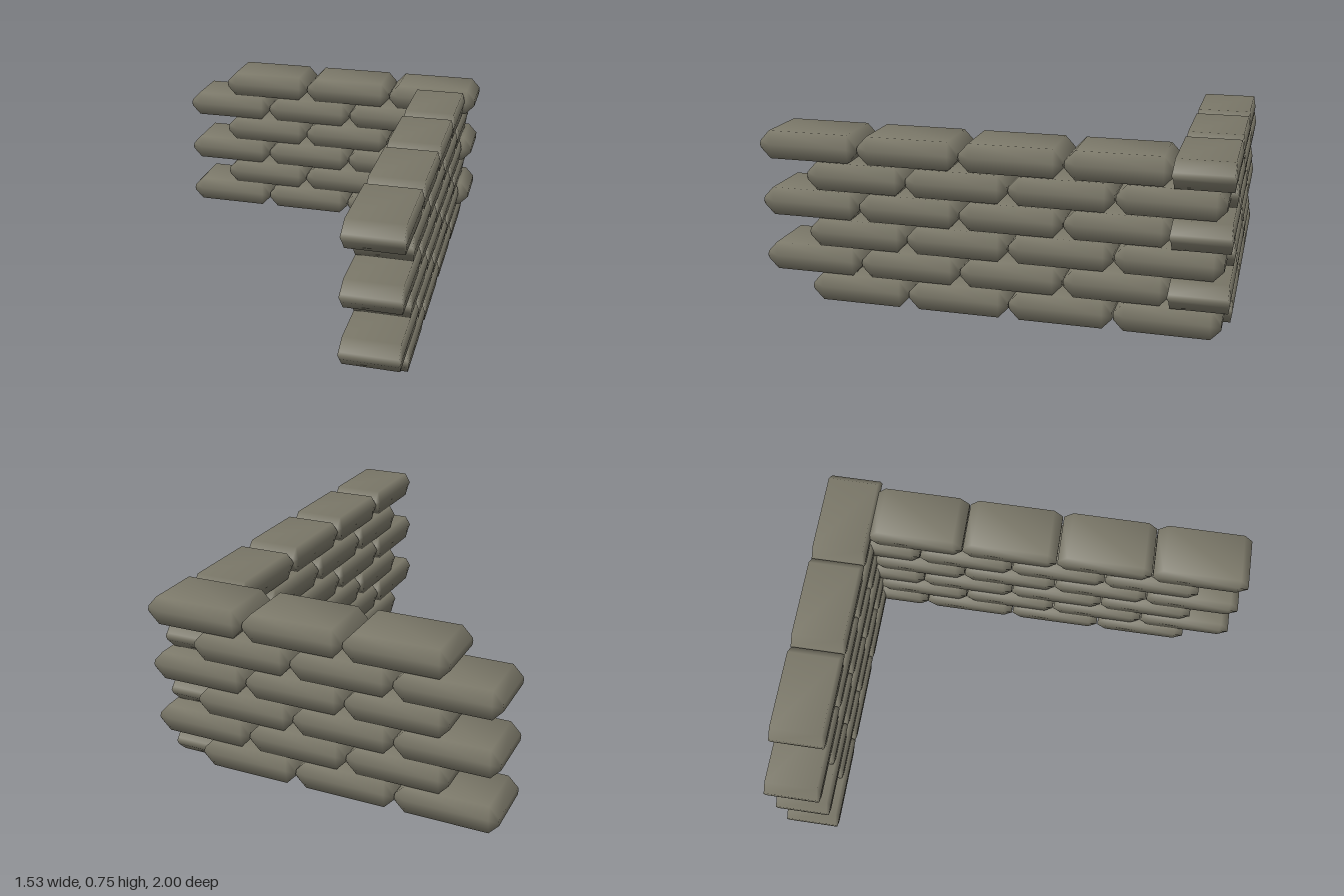
import * as THREE from 'three';

const LENGTH = 0.436, PITCH = 0.441, ROW = 0.125;

// One pillow-shaped sandbag lying along x, lofted from hexagonal sections
function sandbagGeometry() {
  const w = 0.124, inset = 0.008;
  const sections = [[-LENGTH / 2, 0.016], [-0.176, 0.061], [0.176, 0.061], [LENGTH / 2, 0.016]];
  const pos = [], idx = [];
  for (const [x, h] of sections) {
    for (const [y, z] of [[0, w], [h, w - inset], [h, inset - w], [0, -w], [-h, inset - w], [-h, w - inset]]) {
      pos.push(x, y, z);
    }
  }
  for (let s = 0; s < 3; s++) {
    for (let i = 0; i < 6; i++) {
      const a = s * 6 + i, b = s * 6 + (i + 1) % 6;
      idx.push(a, a + 6, b, b, a + 6, b + 6);
    }
  }
  // Narrow end caps
  for (let i = 1; i < 5; i++) {
    idx.push(0, i, i + 1);
    idx.push(18, 18 + i + 1, 18 + i);
  }
  const g = new THREE.BufferGeometry();
  g.setAttribute('position', new THREE.Float32BufferAttribute(pos, 3));
  g.setIndex(idx);
  g.computeVertexNormals();
  return g;
}

export function createModel() {
  const model = new THREE.Group();
  model.name = 'sandbagWall';
  const canvas = new THREE.MeshStandardMaterial({ color: 0x7a7768 });
  canvas.name = 'drabCanvas';
  const alongX = sandbagGeometry();
  const alongZ = alongX.clone().rotateY(Math.PI / 2);

  const addBag = (parent, geometry, name, x, z) => {
    const bag = new THREE.Mesh(geometry, canvas);
    bag.name = name;
    bag.position.set(x, 0, z);
    parent.add(bag);
  };

  // Six staggered courses meeting at an interlocked corner
  for (let r = 0; r < 6; r++) {
    const course = new THREE.Group();
    course.name = 'course' + (r + 1);
    course.position.y = 0.061 + r * ROW;
    const odd = r % 2;
    for (let i = 0; i < 3; i++) {
      addBag(course, alongX, 'backSandbag', (odd ? -0.337 : -0.545) + i * PITCH, -0.876);
    }
    for (let i = 0; i < 4; i++) {
      addBag(course, alongZ, 'sideSandbag', 0.59, (odd ? 0.782 : 0.573) - i * PITCH);
    }
    model.add(course);
  }
  return model;
}
